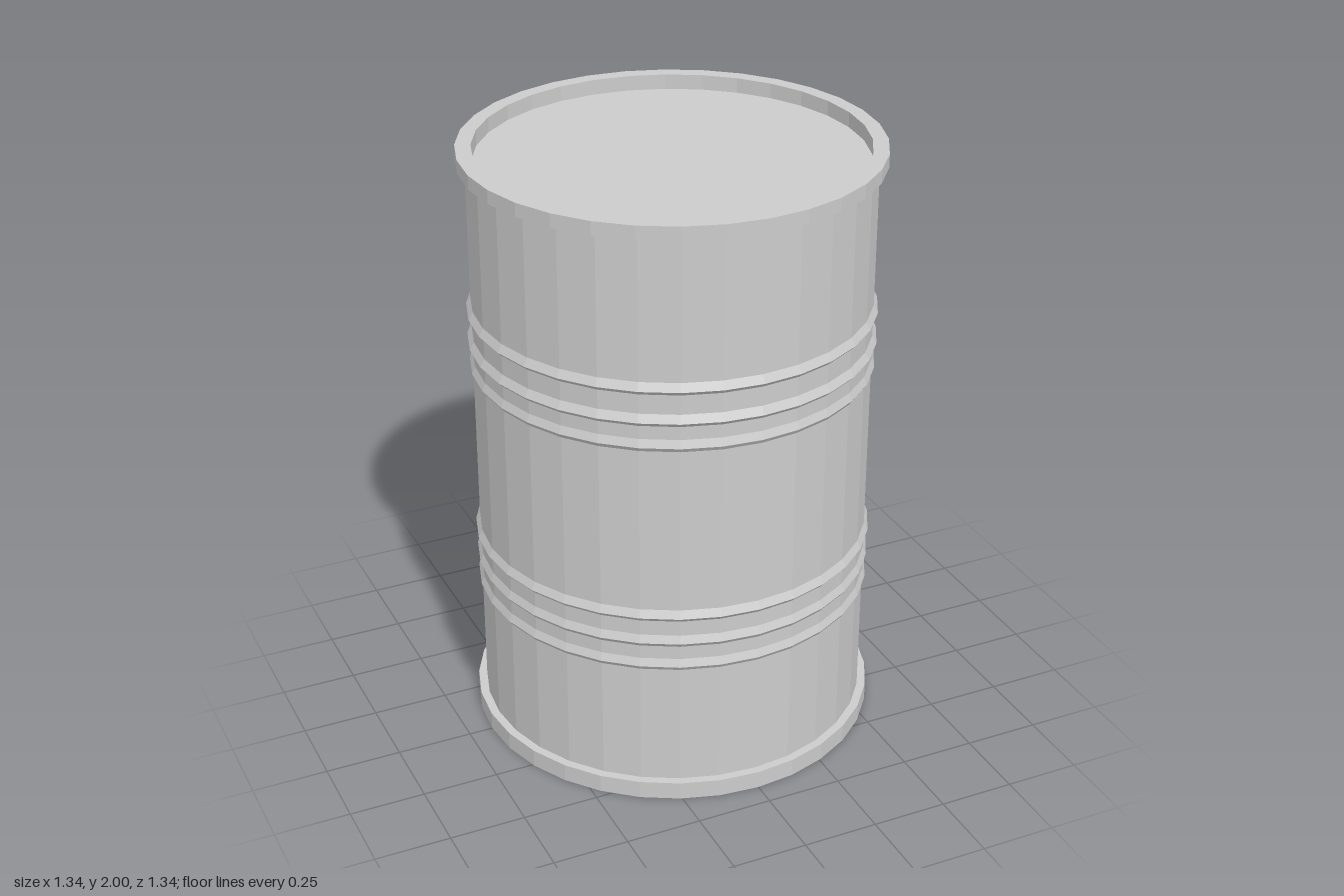
import * as THREE from 'three';

const SIDES = 32;
const BODY_R = 0.642;
const RIM_R = 0.67;

export function createModel() {
  const group = new THREE.Group();
  group.name = 'barrel';
  const material = new THREE.MeshStandardMaterial({ color: 0xcccccc, flatShading: true });

  // Revolve a profile of [radius, height] points, listed from bottom to top on the outside
  const revolve = (name, points) => {
    const profile = points.map(([r, y]) => new THREE.Vector2(r, y));
    const mesh = new THREE.Mesh(new THREE.LatheGeometry(profile, SIDES), material);
    mesh.name = name;
    group.add(mesh);
  };

  // Body wall with two bands of three rolled ribs: [height, radius]
  const ribs = [
    [0.495, 0.652], [0.582, 0.653], [0.675, 0.655],
    [1.275, 0.652], [1.36, 0.656], [1.465, 0.656],
  ];
  const wall = [[BODY_R, 0.06]];
  for (const [y, r] of ribs) wall.push([BODY_R, y - 0.015], [r, y], [BODY_R, y + 0.026]);
  wall.push([BODY_R, 1.955]);
  revolve('body', wall);

  // Bottom rim and recessed base
  revolve('bottomRim', [[0.588, 0.038], [0.588, 0], [RIM_R, 0], [RIM_R, 0.06], [BODY_R, 0.06]]);
  revolve('base', [[0, 0.038], [0.588, 0.038]]);

  // Top rim and recessed lid
  revolve('topRim', [[BODY_R, 1.955], [RIM_R, 1.955], [RIM_R, 2], [0.62, 2], [0.62, 1.95]]);
  revolve('lid', [[0.62, 1.95], [0, 1.95]]);

  return group;
}
